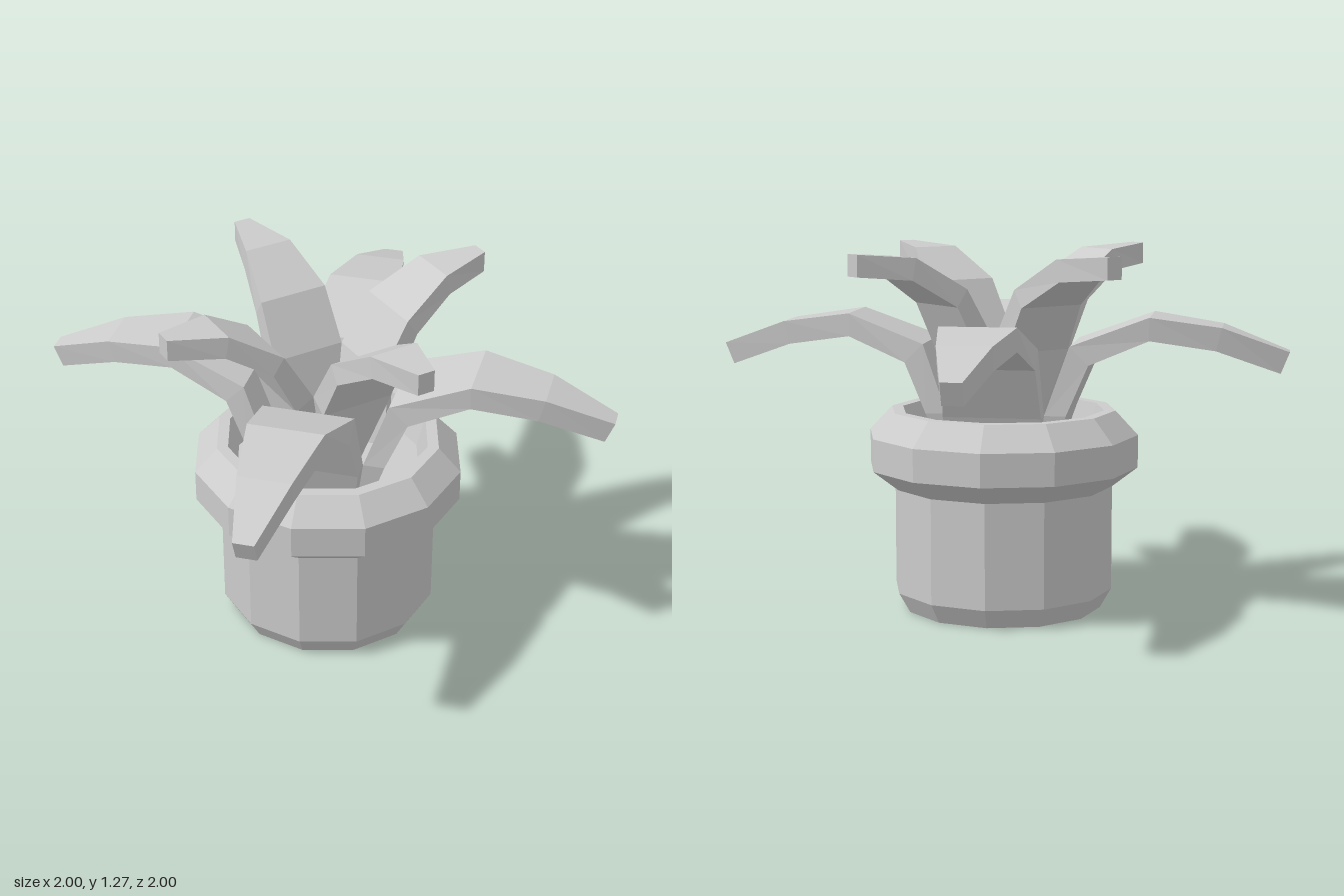
import * as THREE from 'three';

const material = new THREE.MeshStandardMaterial({ color: 0xcccccc, flatShading: true });

// Leaf pointing along +x. Each section: [upper x, upper y, lower x, lower y, half width].
function leafGeometry(sections) {
  const positions = [];
  const index = [];
  for (const [ux, uy, lx, ly, w] of sections) {
    positions.push(ux, uy, -w, ux, uy, w, lx, ly, w, lx, ly, -w);
  }
  for (let s = 0; s < sections.length - 1; s++) {
    for (let k = 0; k < 4; k++) {
      const a = s * 4 + k;
      const b = s * 4 + (k + 1) % 4;
      index.push(a, b, b + 4, a, b + 4, a + 4);
    }
  }
  // base and tip caps
  const t = (sections.length - 1) * 4;
  index.push(0, 2, 1, 0, 3, 2, t, t + 1, t + 2, t, t + 2, t + 3);
  const geometry = new THREE.BufferGeometry();
  geometry.setAttribute('position', new THREE.Float32BufferAttribute(positions, 3));
  geometry.setIndex(index);
  const flat = geometry.toNonIndexed();
  flat.computeVertexNormals();
  return flat;
}

// Four copies of a leaf around the plant's axis
function leafRing(name, sections, startAngle) {
  const ring = new THREE.Group();
  ring.name = name + 'Ring';
  const geometry = leafGeometry(sections);
  for (let i = 0; i < 4; i++) {
    const leaf = new THREE.Mesh(geometry, material);
    leaf.name = name;
    leaf.rotation.y = startAngle + i * Math.PI / 2;
    ring.add(leaf);
  }
  return ring;
}

export function createModel() {
  const plant = new THREE.Group();
  plant.name = 'pottedPlant';

  // Twelve-sided pot with a thick bevelled rim
  const profile = [
    [0, 0], [0.35, 0], [0.39, 0.07], [0.39, 0.44], [0.48, 0.51],
    [0.48, 0.625], [0.40, 0.71], [0.36, 0.71], [0.33, 0.6],
  ].map(([r, y]) => new THREE.Vector2(r, y));
  const pot = new THREE.Mesh(new THREE.LatheGeometry(profile, 12), material);
  pot.name = 'pot';
  plant.add(pot);

  // Soil inside the rim
  const soil = new THREE.Mesh(new THREE.CircleGeometry(0.33, 12), material);
  soil.name = 'soil';
  soil.rotation.x = -Math.PI / 2;
  soil.position.y = 0.6;
  plant.add(soil);

  // Low drooping leaves along the axes
  plant.add(leafRing('outerLeaf', [
    [0.13, 0.58, 0.20, 0.58, 0.15],
    [0.17, 0.71, 0.245, 0.71, 0.17],
    [0.255, 0.95, 0.32, 0.885, 0.16],
    [0.525, 1.05, 0.525, 0.97, 0.13],
    [0.77, 1.015, 0.75, 0.935, 0.09],
    [1.0, 0.93, 0.97, 0.855, 0.035],
  ], 0));

  // Upright leaves on the diagonals
  plant.add(leafRing('innerLeaf', [
    [0.035, 0.58, 0.11, 0.58, 0.035],
    [0.134, 0.97, 0.2, 0.93, 0.134],
    [0.24, 1.15, 0.28, 1.09, 0.127],
    [0.42, 1.26, 0.435, 1.185, 0.088],
    [0.615, 1.275, 0.615, 1.2, 0.03],
  ], Math.PI / 4));

  return plant;
}
